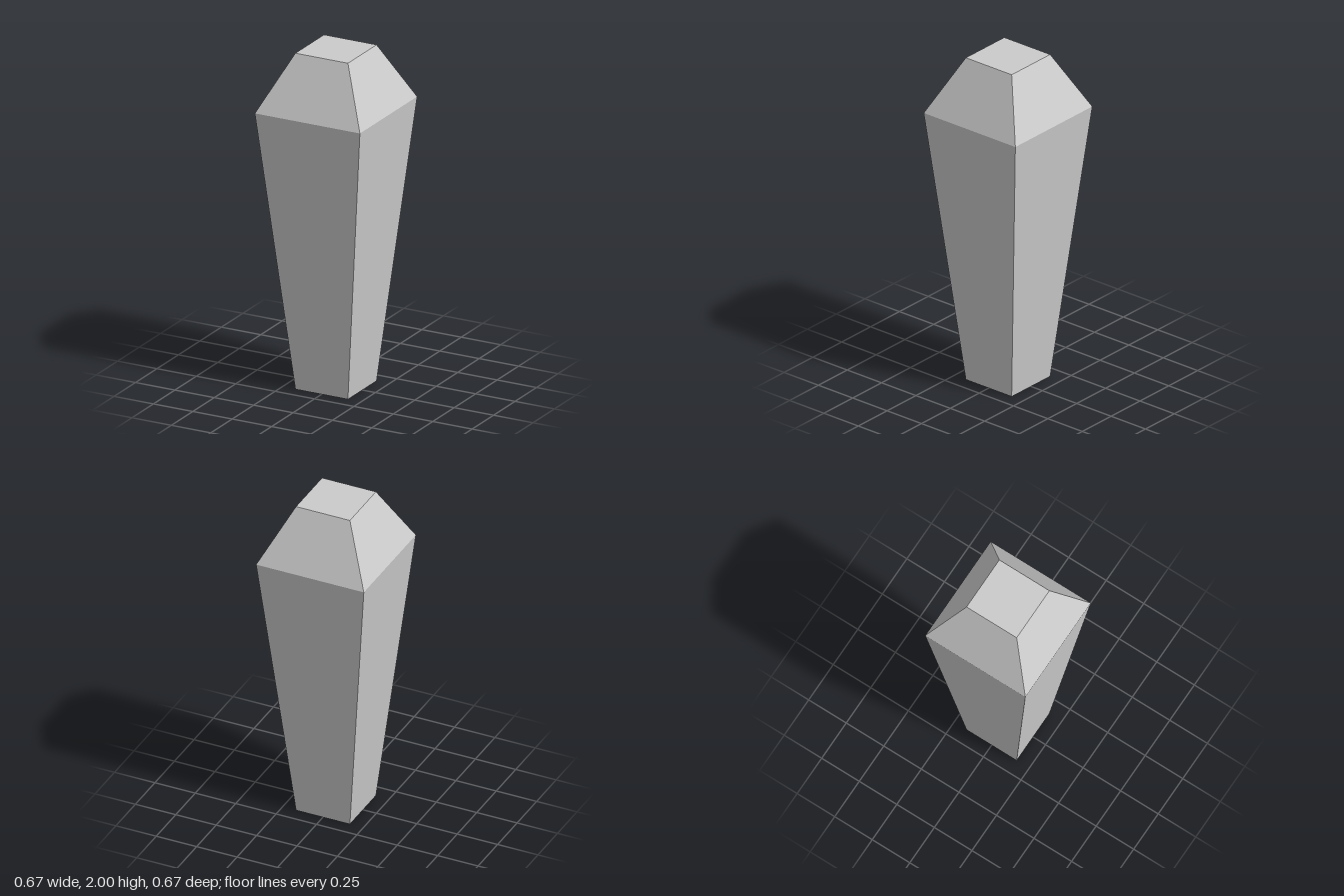
import * as THREE from 'three';

const NARROW = 1 / 6; // half width at both ends
const WIDE = 1 / 3; // half width at the shoulder
const HEIGHT = 2;
const SHOULDER = 5 / 3;

export function createModel() {
  const group = new THREE.Group();
  group.name = 'taperedCrystal';

  // Square column split in two tiers: the middle ring is raised and widened
  const geometry = new THREE.BoxGeometry(2 * NARROW, HEIGHT, 2 * NARROW, 1, 2, 1);
  geometry.translate(0, HEIGHT / 2, 0);
  const pos = geometry.attributes.position;
  for (let i = 0; i < pos.count; i++) {
    if (Math.abs(pos.getY(i) - HEIGHT / 2) < 0.01) {
      pos.setXYZ(i, Math.sign(pos.getX(i)) * WIDE, SHOULDER, Math.sign(pos.getZ(i)) * WIDE);
    }
  }

  // Flat facets
  const faceted = geometry.toNonIndexed();
  faceted.computeVertexNormals();
  const body = new THREE.Mesh(
    faceted,
    new THREE.MeshStandardMaterial({ color: 0xcccccc, flatShading: true })
  );
  body.name = 'body';
  group.add(body);
  return group;
}
